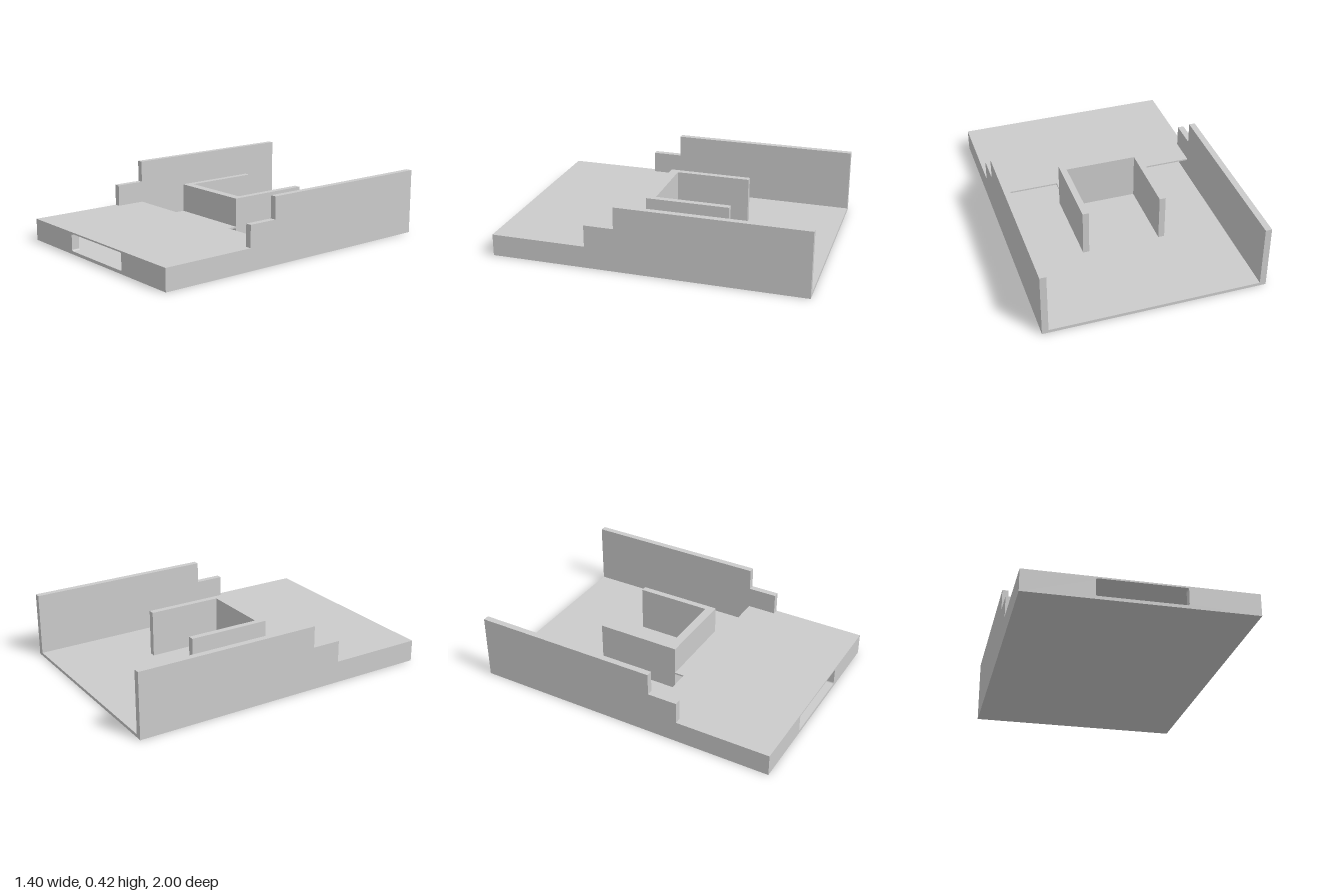
import * as THREE from 'three';

const W = 0.7, T = 0.04;          // half width, wall thickness
const FLOOR = 0.02, DECK = 0.14;  // floor top, deck top
const FRONT = 0.95;               // inner face of the front wall

export function createModel() {
  const group = new THREE.Group();
  const mat = new THREE.MeshStandardMaterial({ color: 0xcccccc, flatShading: true });

  const add = (name, geo) => {
    const mesh = new THREE.Mesh(geo, mat);
    mesh.name = name;
    group.add(mesh);
    return mesh;
  };
  const outline = pts => new THREE.Shape(pts.map(p => new THREE.Vector2(...p)));
  const extrude = (shape, depth) =>
    new THREE.ExtrudeGeometry(shape, { depth, bevelEnabled: false, curveSegments: 4 });
  // Plan outline given as [x, z], raised from y0 to y1
  const slab = (name, pts, y0, y1) =>
    add(name, extrude(outline(pts), y1 - y0).rotateX(Math.PI / 2).translate(0, y1, 0));

  // Thin floor between the side walls
  const i = W - T;
  slab('floor', [[-i, -1], [i, -1], [i, FRONT], [-i, FRONT]], 0, FLOOR);

  // Stepped side walls, profile as [z, y]
  const profile = [[-1, 0], [FRONT, 0], [FRONT, DECK], [0.39, DECK], [0.39, 0.28],
    [0.2, 0.28], [0.2, 0.42], [-1, 0.42]];
  for (const [name, x] of [['leftWall', W], ['rightWall', -i]]) {
    // the extrusion runs from x down to x - T
    const geo = extrude(outline(profile.map(([z, y]) => [z, y])), T);
    add(name, geo.rotateY(-Math.PI / 2).translate(x, 0, 0));
  }

  // Thin deck over the hollow front, with a tab reaching the bracket
  slab('deck', [[-i, FRONT], [-i, 0.2], [-0.27, 0.2], [-0.27, 0.14], [0.27, 0.14],
    [0.27, 0.2], [i, 0.2], [i, FRONT]], DECK - 0.01, DECK);

  // Front wall with a round-cornered slot
  const face = outline([[-W, 0], [W, 0], [W, DECK], [-W, DECK]]);
  const sx = 0.27, y0 = 0.02, y1 = 0.13, r = 0.01;
  const slot = new THREE.Path();
  slot.absarc(sx - r, y1 - r, r, 0, Math.PI / 2);
  slot.absarc(-sx + r, y1 - r, r, Math.PI / 2, Math.PI);
  slot.absarc(-sx + r, y0 + r, r, Math.PI, Math.PI * 1.5);
  slot.absarc(sx - r, y0 + r, r, Math.PI * 1.5, Math.PI * 2);
  slot.closePath();
  face.holes.push(slot);
  add('frontWall', extrude(face, 1 - FRONT).translate(0, 0, FRONT));

  // U-shaped bracket, open to the back
  slab('bracket', [[-0.27, -0.4], [-0.23, -0.4], [-0.23, 0.085], [0.23, 0.085],
    [0.23, -0.4], [0.27, -0.4], [0.27, 0.14], [-0.27, 0.14]], FLOOR, 0.32);

  return group;
}
